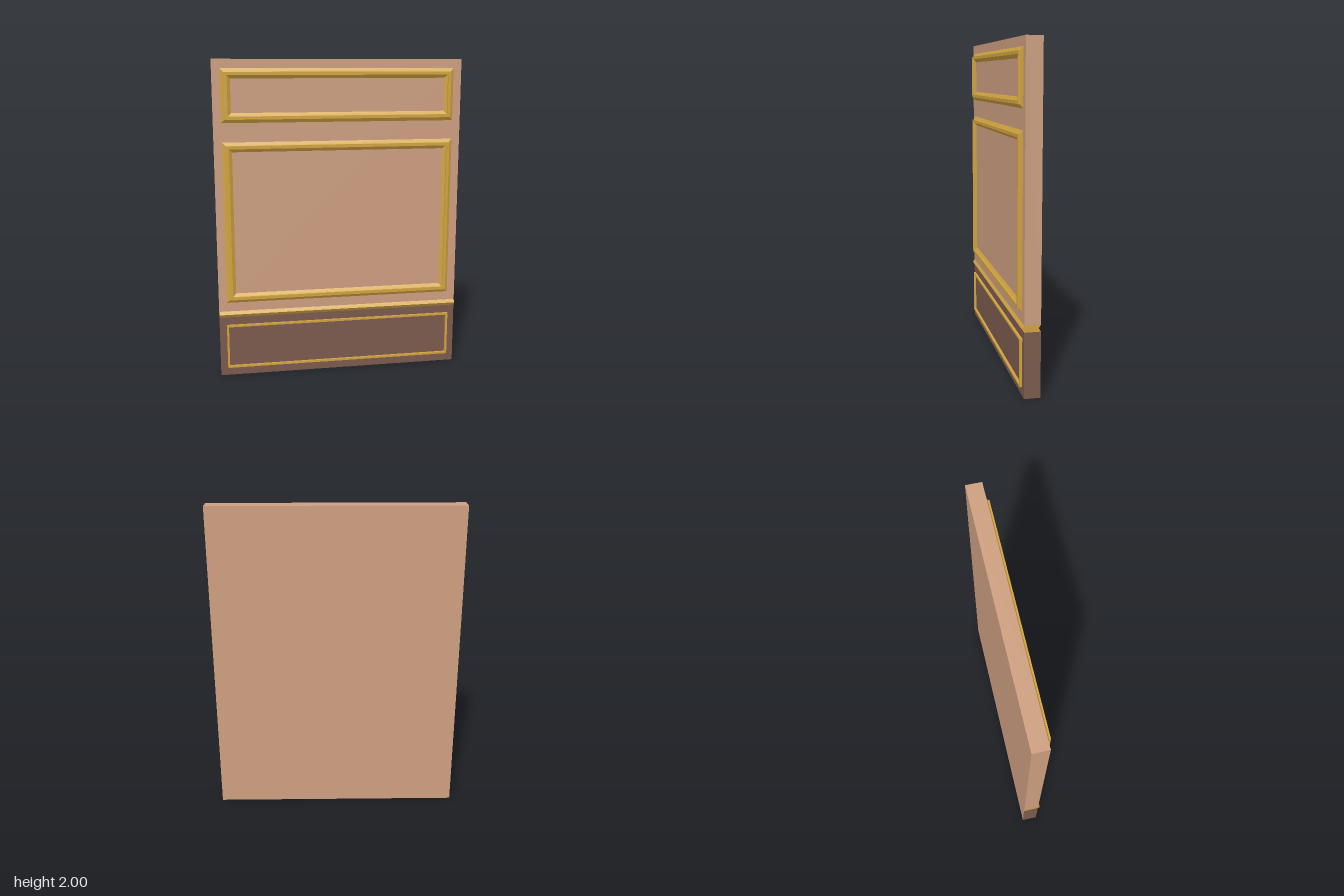
import * as THREE from 'three';

const W = 0.775, FRONT = 0.037, BACK = -0.06;

const mat = (color) => new THREE.MeshStandardMaterial({ color, flatShading: true });

function add(group, name, geometry, material) {
  const mesh = new THREE.Mesh(geometry, material);
  mesh.name = name;
  group.add(mesh);
  return mesh;
}

// Extrudes a (z, y) side outline across the full panel width
function slab(outline) {
  const shape = new THREE.Shape(outline.map(([z, y]) => new THREE.Vector2(-z, y)));
  const geo = new THREE.ExtrudeGeometry(shape, { depth: 2 * W, bevelEnabled: false });
  return geo.translate(0, 0, -W).rotateY(Math.PI / 2);
}

// Mitred rectangular moulding; profile points are (inset, z) from outside to inside
function moulding(halfWidth, y0, y1, profile) {
  const positions = [];
  const ring = ([d, z]) => [
    [-halfWidth + d, y0 + d, z], [halfWidth - d, y0 + d, z],
    [halfWidth - d, y1 - d, z], [-halfWidth + d, y1 - d, z],
  ];
  for (let k = 0; k < profile.length - 1; k++) {
    const outer = ring(profile[k]), inner = ring(profile[k + 1]);
    for (let i = 0; i < 4; i++) {
      const j = (i + 1) % 4;
      positions.push(...outer[i], ...outer[j], ...inner[j], ...outer[i], ...inner[j], ...inner[i]);
    }
  }
  const geo = new THREE.BufferGeometry();
  geo.setAttribute('position', new THREE.Float32BufferAttribute(positions, 3));
  geo.computeVertexNormals();
  return geo;
}

export function createModel() {
  const group = new THREE.Group();
  group.name = 'wallPanel';
  const tan = mat(0xcd9f80), brown = mat(0x7c5b4d), gold = mat(0xd2a440);

  // Upper wall and darker base, ending just short of the backing sheet
  const rear = BACK + 0.001;
  add(group, 'upperWall', slab([[FRONT, 0.43], [FRONT, 2], [rear, 2], [rear, 0.43]]), tan);
  add(group, 'baseboard', slab([[FRONT, 0], [FRONT, 0.39], [rear, 0.39], [rear, 0]]), brown);

  // Pointed rail between them, with a matching notch behind
  add(group, 'chairRail', slab([
    [FRONT, 0.39], [0.05, 0.41], [FRONT, 0.43],
    [rear, 0.43], [-0.046, 0.41], [rear, 0.39],
  ]), gold);

  // Backing sheet over the whole rear
  const back = add(group, 'backing', new THREE.PlaneGeometry(2 * W, 2), tan);
  back.rotation.y = Math.PI;
  back.position.set(0, 1, BACK);

  // Stepped mouldings on the wall
  const stepped = [[0, FRONT], [0.021, 0.05], [0.021, 0.06], [0.04, 0.06], [0.04, 0.05], [0.06, FRONT]];
  add(group, 'topMoulding', moulding(0.725, 1.62, 1.945, stepped), gold);
  add(group, 'middleMoulding', moulding(0.725, 0.487, 1.503, stepped), gold);

  // Thin square trim on the base
  const square = [[0, FRONT], [0, 0.052], [0.013, 0.052], [0.013, FRONT]];
  add(group, 'baseTrim', moulding(0.73, 0.053, 0.34, square), gold);

  return group;
}
